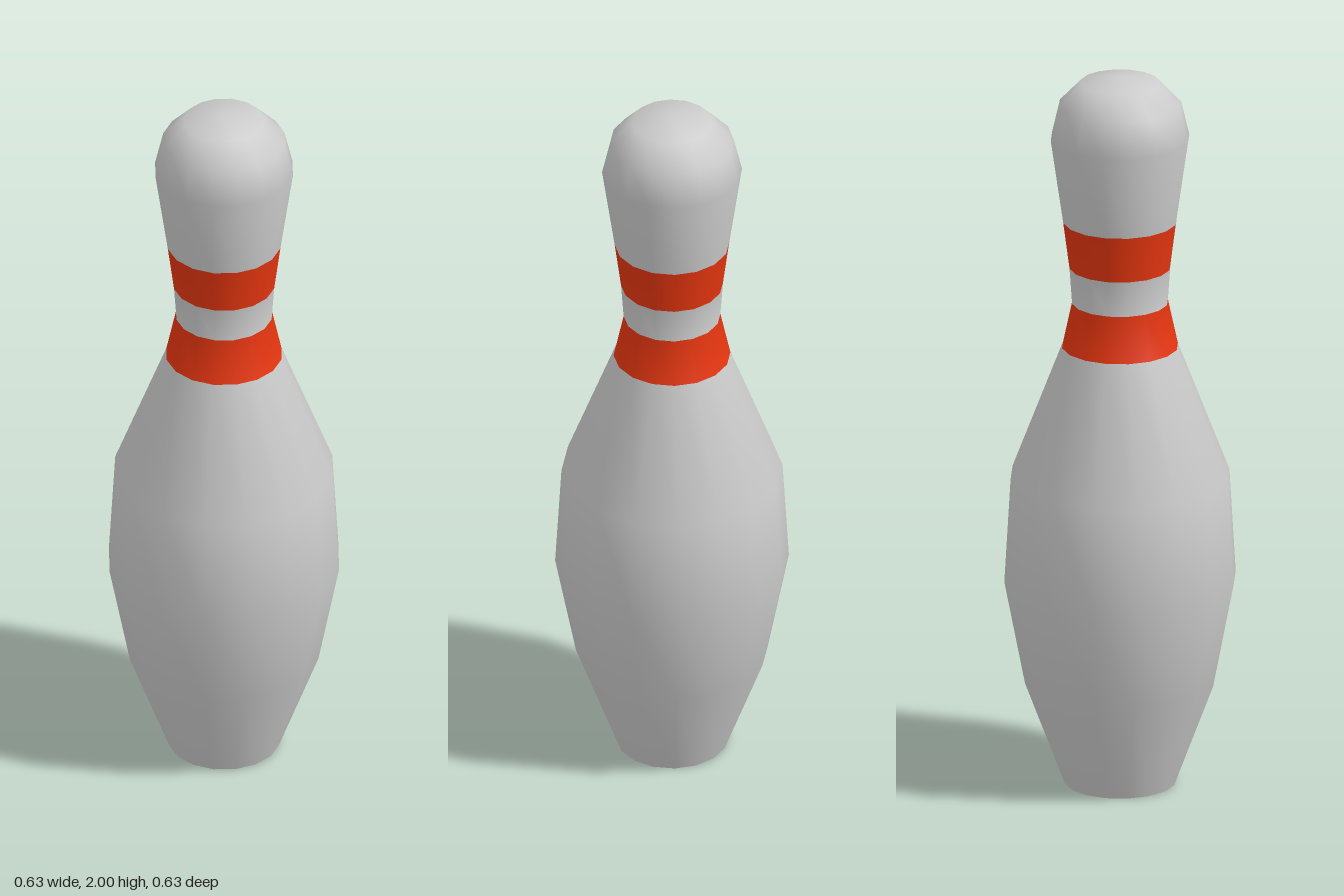
import * as THREE from 'three';

const SIDES = 16;

// Half outline from foot to crown: [radius, height]
const profile = [
  [0.15, 0], [0.258, 0.29], [0.314, 0.58], [0.297, 0.87], [0.157, 1.235],
  [0.13, 1.36], [0.137, 1.46], [0.154, 1.59], [0.188, 1.825],
  [0.166, 1.92], [0.107, 1.982], [0, 2],
].map(([r, y]) => new THREE.Vector2(r, y));

export function createModel() {
  const model = new THREE.Group();
  model.name = 'bowlingPin';

  const white = new THREE.MeshStandardMaterial({ color: 0xcccccc });
  const red = new THREE.MeshStandardMaterial({ color: 0xe63610 });

  // Normals of the whole outline keep the shading smooth across the bands
  const whole = new THREE.LatheGeometry(profile, SIDES).attributes.normal;
  const count = profile.length;

  function addSection(name, first, last, material) {
    const geometry = new THREE.LatheGeometry(profile.slice(first, last + 1), SIDES);
    const normal = geometry.attributes.normal;
    const rows = last - first + 1;
    for (let i = 0; i <= SIDES; i++) {
      for (let j = 0; j < rows; j++) {
        const k = i * count + first + j;
        if (first + j === count - 1) normal.setXYZ(i * rows + j, 0, 1, 0);
        else normal.setXYZ(i * rows + j, whole.getX(k), whole.getY(k), whole.getZ(k));
      }
    }
    const mesh = new THREE.Mesh(geometry, material);
    mesh.name = name;
    model.add(mesh);
  }

  addSection('body', 0, 4, white);
  addSection('lowerBand', 4, 5, red);
  addSection('neck', 5, 6, white);
  addSection('upperBand', 6, 7, red);
  addSection('head', 7, count - 1, white);

  // Flat foot
  const base = new THREE.Mesh(new THREE.CircleGeometry(profile[0].x, SIDES), white);
  base.name = 'base';
  base.rotation.x = Math.PI / 2;
  model.add(base);

  return model;
}
